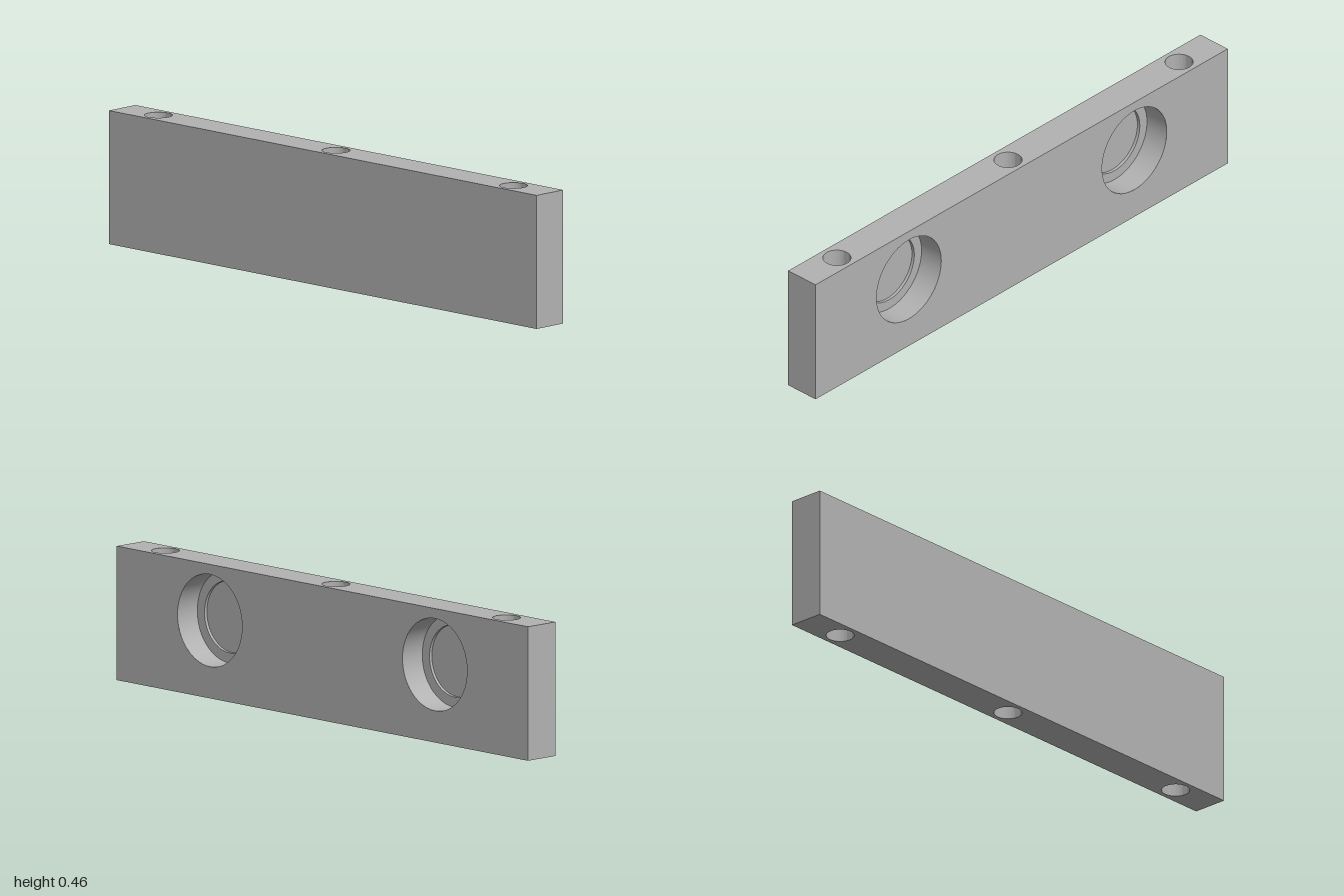
import * as THREE from 'three';
import { toCreasedNormals } from 'three/addons/utils/BufferGeometryUtils.js';

const W = 0.126, H = 0.456, L = 2, SEGMENTS = 64;
const BORE_R = 0.047, BORE_Z = [-0.83, 0, 0.83];
const POCKET_R = 0.157, POCKET_Y = 0.265, POCKET_Z = [-0.547, 0.547];
const POCKET_DEPTH = 0.091, SEAT_R = 0.122, SEAT_DEPTH = 0.102;

// Flat rectangle centred on the origin, facing +z, with round holes
function panel(w, h, holes = [], radius = 0) {
  const shape = new THREE.Shape([
    new THREE.Vector2(-w / 2, -h / 2), new THREE.Vector2(w / 2, -h / 2),
    new THREE.Vector2(w / 2, h / 2), new THREE.Vector2(-w / 2, h / 2),
  ]);
  for (const [x, y] of holes) {
    shape.holes.push(new THREE.Path().absarc(x, y, radius, 0, Math.PI * 2, true));
  }
  return new THREE.ShapeGeometry(shape, SEGMENTS);
}

// Inward-facing turned surface; the profile runs from the mouth downwards
function cavity(points) {
  const profile = points.map(([r, y]) => new THREE.Vector2(r, y));
  return toCreasedNormals(new THREE.LatheGeometry(profile, SEGMENTS), 0.6);
}

export function createModel() {
  const group = new THREE.Group();
  group.name = 'drilledBar';
  const grey = new THREE.MeshStandardMaterial({ color: 0xb2b2b2 });
  grey.name = 'grey';

  const add = (name, geometry, x, y, z) => {
    const mesh = new THREE.Mesh(geometry, grey);
    mesh.name = name;
    mesh.position.set(x, y, z);
    group.add(mesh);
  };

  // Broad sides: one with pocket openings, one plain
  const pocketCentres = POCKET_Z.map((z) => [-z, POCKET_Y - H / 2]);
  add('pocketSide', panel(L, H, pocketCentres, POCKET_R).rotateY(Math.PI / 2), W / 2, H / 2, 0);
  add('plainSide', panel(L, H).rotateY(-Math.PI / 2), -W / 2, H / 2, 0);

  // Ends
  add('frontEnd', panel(W, H), 0, H / 2, L / 2);
  add('backEnd', panel(W, H).rotateY(Math.PI), 0, H / 2, -L / 2);

  // Top and bottom with bore openings
  const boreCentres = BORE_Z.map((z) => [0, z]);
  add('topFace', panel(W, L, boreCentres, BORE_R).rotateX(-Math.PI / 2), 0, H, 0);
  add('bottomFace', panel(W, L, boreCentres, BORE_R).rotateX(Math.PI / 2), 0, 0, 0);

  // Vertical through bores
  const bore = cavity([[BORE_R, H], [BORE_R, 0]]);
  for (const z of BORE_Z) add('bore', bore, 0, 0, z);

  // Blind round pockets with a shallow recessed seat in the floor
  const pocket = cavity([
    [POCKET_R, 0], [POCKET_R, -POCKET_DEPTH], [SEAT_R, -POCKET_DEPTH],
    [SEAT_R, -SEAT_DEPTH], [0, -SEAT_DEPTH],
  ]).rotateZ(-Math.PI / 2);
  for (const z of POCKET_Z) add('pocket', pocket, W / 2, POCKET_Y, z);

  return group;
}
